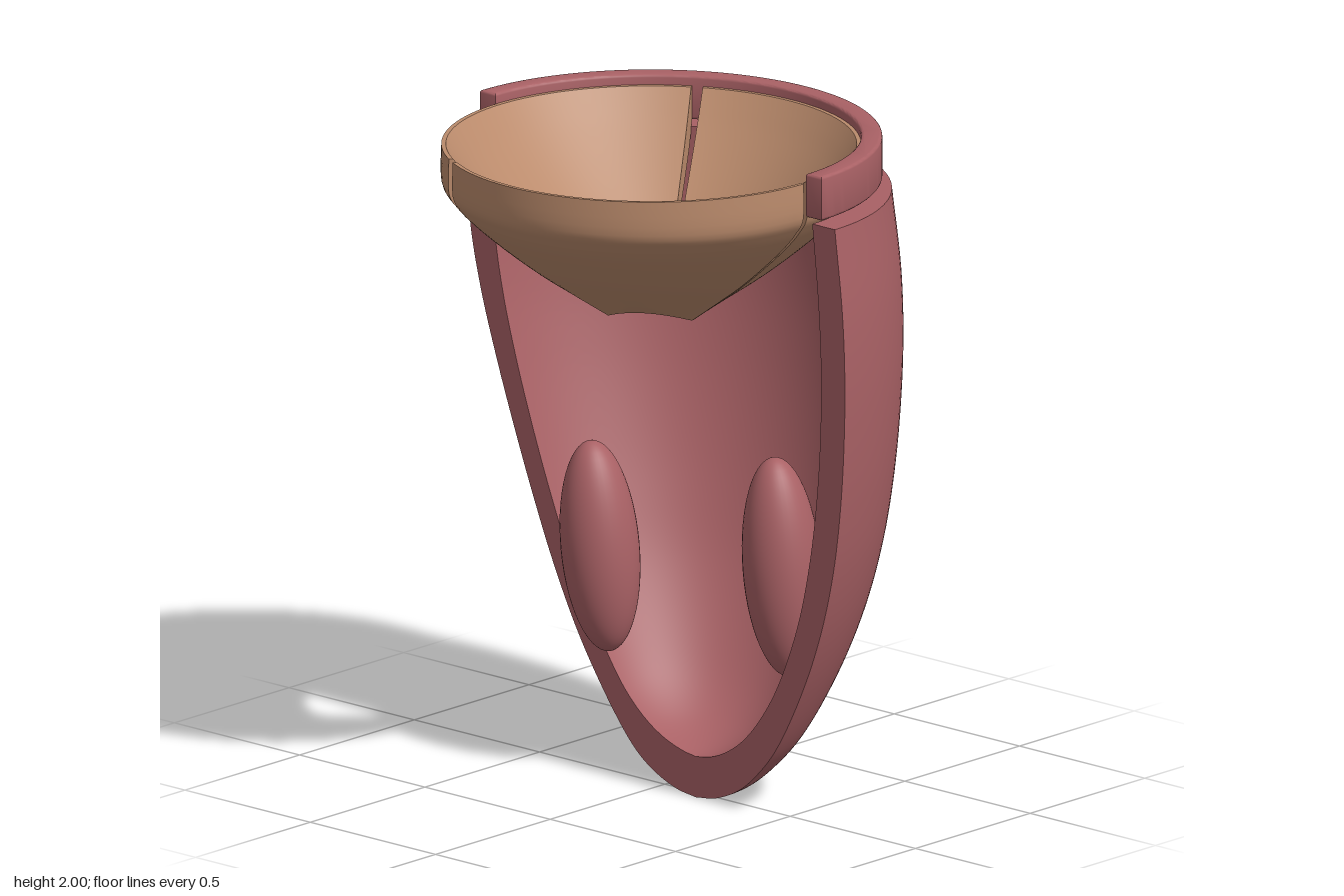
import * as THREE from 'three';
import { mergeGeometries, toCreasedNormals } from 'three/addons/utils/BufferGeometryUtils.js';
import { ParametricGeometry } from 'three/addons/geometries/ParametricGeometry.js';

const CUT = 0.04; // z of the cut plane and of the valve axis
const lerp = THREE.MathUtils.lerp;

// Smooth surface from fn(u, v) -> [x, y, z]; flip turns it over.
function surface(fn, nu, nv, flip = false) {
  const g = new ParametricGeometry((u, v, p) => p.set(...fn(flip ? 1 - u : u, v)), nu, nv);
  g.computeVertexNormals();
  return g;
}

// Wall outlines as (left x, y, right x), bottom to top.
const outline = rows => new THREE.CatmullRomCurve3(rows.map(r => new THREE.Vector3(...r)));
const outer = outline([
  [0.16, 0, 0.16], [0.08, 0.0125, 0.24], [-0.01, 0.05, 0.325], [-0.08, 0.1, 0.388],
  [-0.167, 0.2, 0.475], [-0.302, 0.4, 0.583], [-0.405, 0.6, 0.66], [-0.49, 0.8, 0.71],
  [-0.567, 1, 0.738], [-0.638, 1.2, 0.752], [-0.70, 1.4, 0.755], [-0.742, 1.6, 0.745], [-0.752, 1.85, 0.715],
]);
const inner = outline([
  [0.16, 0.125, 0.16], [0.105, 0.134, 0.215], [0.03, 0.16, 0.277], [-0.045, 0.205, 0.342],
  [-0.125, 0.28, 0.41], [-0.21, 0.4, 0.485], [-0.325, 0.6, 0.565], [-0.412, 0.8, 0.613],
  [-0.488, 1, 0.642], [-0.555, 1.2, 0.657], [-0.61, 1.4, 0.66], [-0.645, 1.6, 0.65], [-0.656, 1.85, 0.625],
]);

// Point on a wall: angle from +x round the back to -x, v from bottom to top.
function wallPoint(curve, angle, v) {
  const { x: left, y, z: right } = curve.getPoint(v);
  const w = (right - left) / 2;
  return [(left + right) / 2 + w * Math.cos(angle), y, CUT - w * (1 - 0.04 * y) * Math.sin(angle)];
}
const mix = (a, b, t) => a.map((n, i) => lerp(n, b[i], t));

function wallGeometry() {
  const edge = (curve, v) => (v < 0.5 ? wallPoint(curve, Math.PI, 1 - 2 * v) : wallPoint(curve, 0, 2 * v - 1));
  return mergeGeometries([
    surface((u, v) => wallPoint(outer, u * Math.PI, v), 64, 72),
    surface((u, v) => wallPoint(inner, u * Math.PI, v), 64, 72, true),
    surface((u, v) => mix(edge(inner, v), edge(outer, v), u), 1, 144),
    surface((u, v) => mix(wallPoint(outer, u * Math.PI, 1), wallPoint(inner, u * Math.PI, 1), v), 64, 1),
  ]);
}

// Half ring with slightly rounded edges
const RING_BEVEL = 0.009;
function ringGeometry() {
  const s = new THREE.Shape();
  s.absarc(0, 0, 0.682, 0, Math.PI, false);
  s.absarc(0, 0, 0.619, Math.PI, 0, true);
  const g = new THREE.ExtrudeGeometry(s, {
    depth: 0.135 - 2 * RING_BEVEL, curveSegments: 64,
    bevelThickness: RING_BEVEL, bevelSize: RING_BEVEL, bevelOffset: -RING_BEVEL, bevelSegments: 3,
  });
  g.rotateX(-Math.PI / 2);
  return toCreasedNormals(g, 0.6);
}

// Leaflet profiles as (radius, height), from the central opening up to the rim
const profile = pts => new THREE.SplineCurve(pts.map(p => new THREE.Vector2(...p)));
const under = profile([
  [0.148, 1.46], [0.25, 1.53], [0.35, 1.60], [0.45, 1.68], [0.54, 1.76], [0.59, 1.815], [0.618, 1.865], [0.618, 1.97],
]);
const over = profile([
  [0.148, 1.475], [0.22, 1.545], [0.30, 1.625], [0.38, 1.707], [0.46, 1.793], [0.53, 1.873], [0.575, 1.93], [0.605, 1.97],
]);

function leafletGeometry(fromDeg, toDeg) {
  const at = (curve, t, s) => {
    const a = THREE.MathUtils.degToRad(lerp(fromDeg, toDeg, t));
    const { x: r, y } = curve.getPoint(s);
    const arch = 0.035 * Math.sin(Math.PI * t) * (1 - s) ** 3; // raised middle of the free edge
    return [-0.018 * (r - 0.148) / 0.47 + r * Math.cos(a), y + arch, CUT + r * Math.sin(a)];
  };
  const across = (t, s, k) => mix(at(over, t, s), at(under, t, s), k);
  return mergeGeometries([
    surface((u, v) => at(under, u, v), 40, 28, true),
    surface((u, v) => at(over, u, v), 40, 28),
    surface((u, v) => across(u, 1, v), 40, 1),
    surface((u, v) => across(u, 0, v), 40, 1, true),
    surface((u, v) => across(0, v, u), 1, 28, true),
    surface((u, v) => across(1, v, u), 1, 28),
  ]);
}

export function createModel() {
  const model = new THREE.Group();
  const muscle = new THREE.MeshStandardMaterial({ color: 0xa96165 });
  muscle.name = 'muscle red';
  const tissue = new THREE.MeshStandardMaterial({ color: 0xbb8b6c });
  tissue.name = 'valve tan';

  const add = (name, geometry, material, parent = model) => {
    const mesh = new THREE.Mesh(geometry, material);
    mesh.name = name;
    parent.add(mesh);
    return mesh;
  };

  // Cut-open chamber wall
  add('chamberWall', wallGeometry(), muscle);

  // Half ring above the wall
  add('valveRing', ringGeometry(), muscle).position.set(-0.02, 1.865 + RING_BEVEL, CUT);

  // Funnel valve of three leaflets
  const valve = new THREE.Group();
  valve.name = 'valve';
  model.add(valve);
  [[1, 118.5], [122, 238.7], [242, 359.6]].forEach(([a, b], i) =>
    add(`leaflet${i + 1}`, leafletGeometry(a, b), tissue, valve));

  // Two leaning muscles inside the chamber, the left one set deeper
  const bulb = new THREE.SphereGeometry(1, 40, 28);
  [
    ['rightMuscle', -0.222, 0.697, CUT, 0.318, 0.12],
    ['leftMuscle', 0.257, 0.668, -0.23, 0.331, 0.1],
  ].forEach(([name, x, y, z, height, lean]) => {
    const m = add(name, bulb, muscle);
    m.position.set(x, y, z);
    m.scale.set(0.115, height, 0.118);
    m.rotation.z = lean;
  });

  return model;
}
